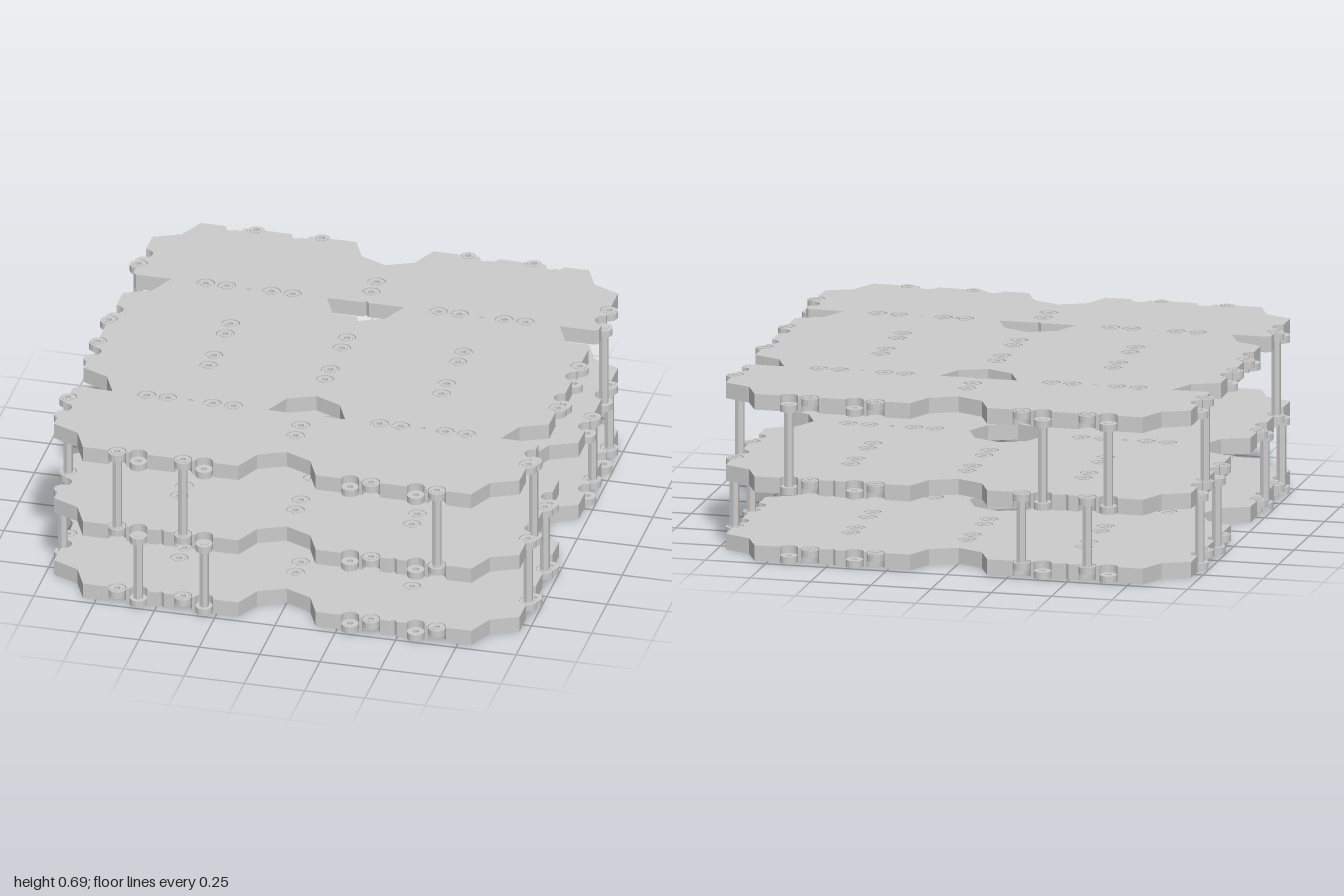
import * as THREE from 'three';

const H = 0.4825;        // half the long side of one deck tile
const T = 0.065;         // tile thickness
const LEVELS = [0, 0.285, 0.626];
const PAIR = [0.0925, 0.18];
const NOTCH = 0.037;
const mat = new THREE.MeshStandardMaterial({ color: 0xcccccc });

function add(parent, name, geometry, x, y, z) {
  const mesh = new THREE.Mesh(geometry, mat);
  mesh.name = name;
  mesh.position.set(x, y, z);
  parent.add(mesh);
  return mesh;
}

// Extrude a plan shape upwards
function slab(shape, depth, segments) {
  const g = new THREE.ExtrudeGeometry(shape, { depth, bevelEnabled: false, curveSegments: segments });
  return g.rotateX(-Math.PI / 2);
}

// Hinge positions on the four edges: u, v, edge direction
const hinges = [];
const along = [-PAIR[1], -PAIR[0], PAIR[0], PAIR[1]];
along.forEach(u => hinges.push([u, 0, 0]));
PAIR.forEach(v => hinges.push([H, v, Math.PI / 2]));
[...along].reverse().forEach(u => hinges.push([u, H, Math.PI]));
[...PAIR].reverse().forEach(v => hinges.push([-H, v, -Math.PI / 2]));

// Half-octagonal tile with a straight inner side, stepped outer corners and hinge notches
function tileShape() {
  const s = new THREE.Shape();
  const notches = list => list.forEach(([u, v, a]) => {
    s.lineTo(u - NOTCH * Math.cos(a), v - NOTCH * Math.sin(a));
    s.absarc(u, v, NOTCH, a + Math.PI, a, true);
  });
  const c = 0.014, k = H - 0.16, m = H - 0.11;
  s.moveTo(-H + c, 0);
  notches(hinges.slice(0, 4));
  s.lineTo(H - c, 0);
  s.lineTo(H, c);
  notches(hinges.slice(4, 6));
  s.lineTo(H, k);
  s.lineTo(m, m);
  s.lineTo(k, H);
  notches(hinges.slice(6, 10));
  s.lineTo(-k, H);
  s.lineTo(-m, m);
  s.lineTo(-H, k);
  notches(hinges.slice(10));
  s.lineTo(-H, c);
  s.closePath();
  return s;
}

// Ring with a given number of outer sides around a pin hole
function ring(radius, sides, depth) {
  const pts = Array.from({ length: sides }, (_, i) => {
    const a = (i / sides) * Math.PI * 2;
    return new THREE.Vector2(radius * Math.cos(a), radius * Math.sin(a));
  });
  const s = new THREE.Shape(pts);
  s.holes.push(new THREE.Path().absarc(0, 0, 0.013, 0, Math.PI * 2, true));
  return slab(s, depth, 5);
}

export function createModel() {
  const root = new THREE.Group();
  root.name = 'threeDeckPlatform';
  const plate = slab(tileShape(), T, 5);
  const knuckle = ring(0.035, 16, T / 2 - 0.003);
  const nut = ring(0.027, 6, 0.003).translate(0, T / 2 - 0.003, 0);
  const up = new THREE.Vector3(0, 1, 0);

  function addTile(deck, x, z, angle) {
    const tile = new THREE.Group();
    tile.name = 'deckTile';
    tile.position.set(x, 0, z);
    tile.rotation.y = angle;
    deck.add(tile);
    add(tile, 'tilePlate', plate, 0, 0, 0);
    for (const [u, v, a] of hinges) {
      // Neighbouring tiles get knuckles at opposite heights
      const p = new THREE.Vector3(u, 0, -v).applyAxisAngle(up, angle).add(tile.position);
      const n = new THREE.Vector3(Math.sin(a), 0, Math.cos(a)).applyAxisAngle(up, angle);
      const onX = Math.abs(n.x) > 0.5;
      const d = Math.abs(onX ? p.z : p.x);
      const outer = [0.18, H - PAIR[0], H + 0.18].some(q => Math.abs(d - q) < 0.01);
      const high = outer === (n.x + n.z > 0);
      const hinge = new THREE.Group();
      hinge.name = 'hingeKnuckle';
      hinge.position.set(u, T / 2, -v);
      hinge.rotation.x = high ? 0 : Math.PI;
      tile.add(hinge);
      add(hinge, 'knuckleRing', knuckle, 0, 0, 0);
      add(hinge, 'hexNut', nut, 0, 0, 0);
    }
  }

  // Decks: the lower two share a layout, the top one is turned to bridge the gaps
  const Q = Math.PI / 2;
  LEVELS.forEach((y, level) => {
    const deck = new THREE.Group();
    deck.name = ['lowerDeck', 'middleDeck', 'topDeck'][level];
    deck.position.y = y;
    root.add(deck);
    for (const sx of [-1, 1]) {
      if (level < 2) {
        for (const sz of [-1, 1])
          for (const turn of [Q, -Q]) addTile(deck, sx * H, sz * H, turn);
      } else {
        for (const turn of [Q, -Q]) addTile(deck, sx * H, 0, turn);
        addTile(deck, sx * H, -H, 0);
        addTile(deck, sx * H, H, Math.PI);
      }
    }
  });

  // Hexagonal posts between the decks
  const posts = [
    { low: 0, ends: [-0.575, -0.302], sides: [0.39, 0.6625] },
    { low: 1, ends: [-0.6625, -0.39, 0.6625], sides: [0.575] },
  ];
  for (const { low, ends, sides } of posts) {
    const y0 = LEVELS[low] + 0.03, y1 = LEVELS[low + 1] + 0.035;
    const rod = new THREE.CylinderGeometry(0.02, 0.02, y1 - y0, 6).toNonIndexed();
    rod.computeVertexNormals();
    const y = (y0 + y1) / 2;
    for (const s of [-1, 1]) {
      ends.forEach(x => add(root, 'supportPost', rod, x, y, s * 2 * H));
      for (const t of [-1, 1])
        sides.forEach(z => add(root, 'supportPost', rod, s * 2 * H, y, t * z));
    }
  }
  return root;
}
